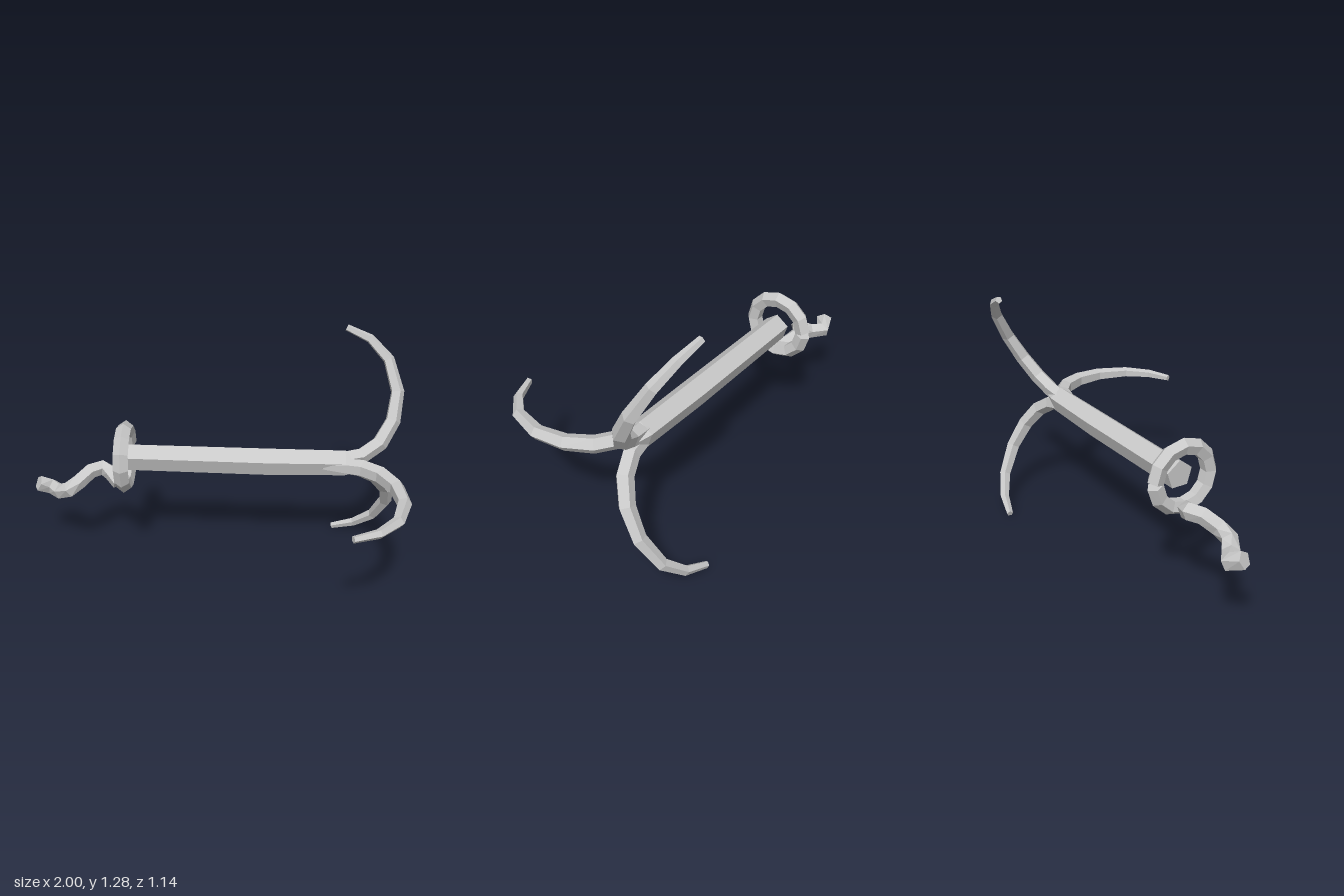
import * as THREE from 'three';

const V = (x, y, z) => new THREE.Vector3(x, y, z);
const SIDES = 5;

// Closed five-sided tube along points; refAt(i) gives the direction of the apex edge.
function sweep(points, radii, refAt) {
  const pos = [];
  const last = points.length - 1;
  const rings = points.map((p, i) => {
    const t = points[Math.min(i + 1, last)].clone().sub(points[Math.max(i - 1, 0)]).normalize();
    const n = refAt(i).clone();
    n.addScaledVector(t, -n.dot(t)).normalize();
    const b = t.clone().cross(n);
    return Array.from({ length: SIDES }, (_, j) => {
      const a = (j / SIDES) * Math.PI * 2;
      return p.clone().addScaledVector(n, radii[i] * Math.cos(a)).addScaledVector(b, radii[i] * Math.sin(a));
    });
  });
  const tri = (...vs) => vs.forEach(v => pos.push(v.x, v.y, v.z));
  for (let i = 0; i < last; i++) {
    for (let j = 0; j < SIDES; j++) {
      const k = (j + 1) % SIDES;
      tri(rings[i][j], rings[i][k], rings[i + 1][j]);
      tri(rings[i][k], rings[i + 1][k], rings[i + 1][j]);
    }
  }
  for (let j = 1; j < SIDES - 1; j++) {
    tri(rings[0][0], rings[0][j + 1], rings[0][j]);
    tri(rings[last][0], rings[last][j], rings[last][j + 1]);
  }
  const g = new THREE.BufferGeometry();
  g.setAttribute('position', new THREE.Float32BufferAttribute(pos, 3));
  g.computeVertexNormals();
  return g;
}

export function createModel() {
  const model = new THREE.Group();
  model.name = 'grapplingHook';
  const steel = new THREE.MeshStandardMaterial({ color: 0xc8c8c8, flatShading: true });
  steel.name = 'light steel grey';

  const add = (name, geometry) => {
    const mesh = new THREE.Mesh(geometry, steel);
    mesh.name = name;
    model.add(mesh);
  };

  // Shaft
  const up = V(0, 1, 0);
  add('shaft', sweep(
    [V(-0.46, 0.637, -0.176), V(0.3, 0.633, -0.178), V(0.7, 0.638, -0.18), V(0.78, 0.638, -0.18)],
    [0.073, 0.075, 0.07, 0.045], () => up));

  // Three curved prongs: [x, distance from the shaft axis, thickness]
  const prong = [
    [0.58, 0.035, 0.02], [0.7, 0.03, 0.042], [0.79, 0.048, 0.045], [0.88, 0.115, 0.045],
    [0.945, 0.235, 0.042], [0.965, 0.39, 0.037], [0.915, 0.56, 0.031], [0.815, 0.668, 0.025], [0.69, 0.725, 0.018],
  ];
  ['frontProng', 'upperProng', 'lowerProng'].forEach((name, k) => {
    const a = (k * 120 - 1.3) * Math.PI / 180;
    const dir = V(0, Math.sin(a), Math.cos(a));
    const pts = prong.map(([x, r]) => V(x, 0.635, -0.172).addScaledVector(dir, r));
    // Apex edge faces away from the centre of the curl
    const hub = V(0.6, 0.635, -0.172).addScaledVector(dir, 0.38);
    add(name, sweep(pts, prong.map(p => p[2]), i => pts[i].clone().sub(hub)));
  });

  // Ring with a small gap at the back
  const N = 12, gap = 0.05;
  const radial = [], ringPts = [];
  for (let i = 0; i <= N; i++) {
    const a = gap + (i / N) * (Math.PI * 2 - gap * 2);
    radial.push(V(0, Math.sin(a), -Math.cos(a)));
    ringPts.push(V(-0.48, 0.637, -0.175).addScaledVector(radial[i], 0.155));
  }
  add('ring', sweep(ringPts, ringPts.map(() => 0.042), i => radial[i]));

  // Short wavy rope tail
  const rope = [
    V(-0.52, 0.475, -0.175), V(-0.57, 0.515, -0.215), V(-0.62, 0.535, -0.235), V(-0.68, 0.53, -0.2),
    V(-0.74, 0.485, -0.155), V(-0.79, 0.445, -0.135), V(-0.85, 0.412, -0.17), V(-0.91, 0.412, -0.225),
    V(-0.975, 0.445, -0.195),
  ];
  add('ropeTail', sweep(rope, rope.map(() => 0.044), () => up));

  return model;
}
